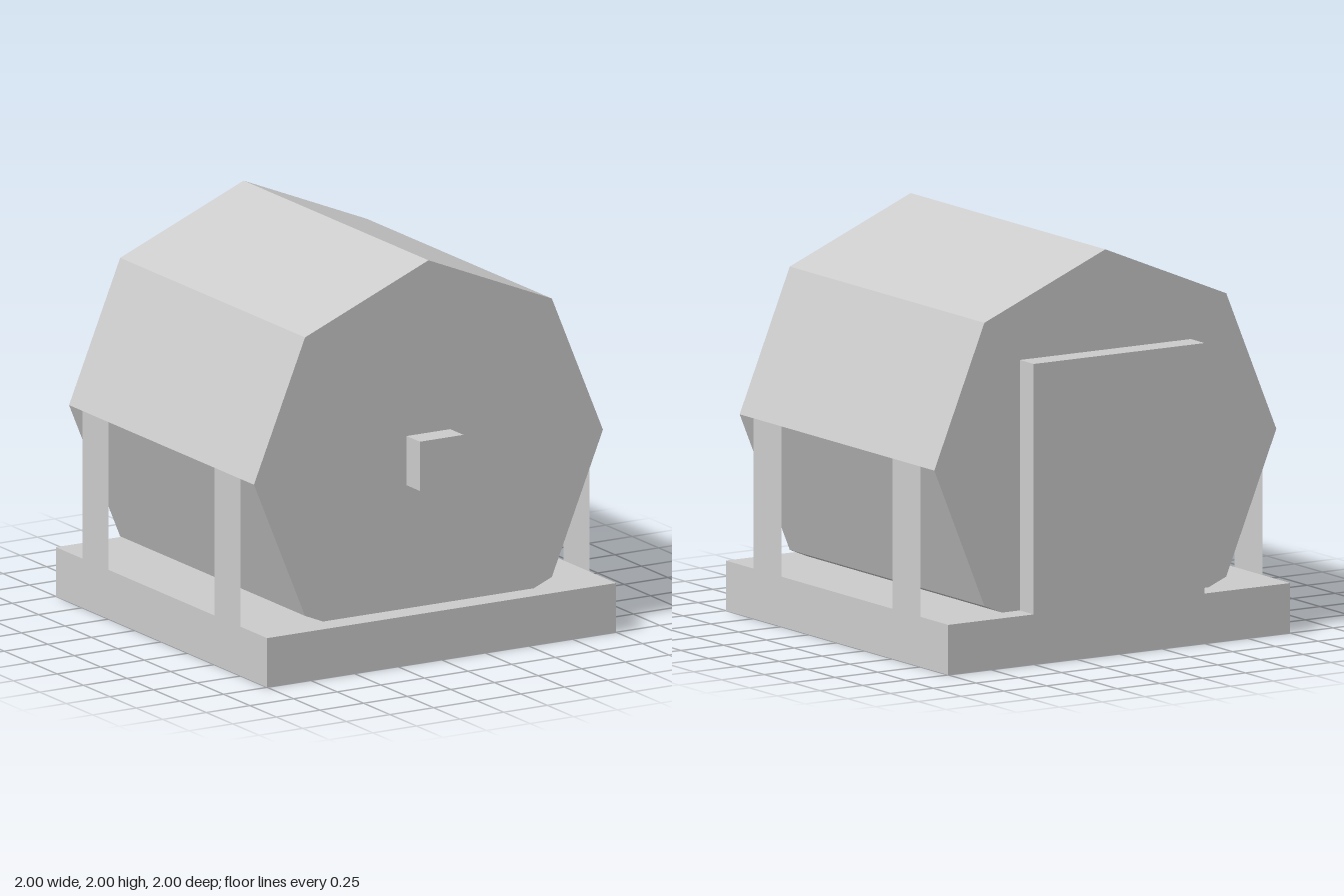
import * as THREE from 'three';

const material = new THREE.MeshStandardMaterial({ color: 0xcccccc, flatShading: true });
const thinMaterial = new THREE.MeshStandardMaterial({
  color: 0xcccccc, flatShading: true, side: THREE.DoubleSide,
});

export function createModel() {
  const model = new THREE.Group();
  model.name = 'barrelOnStand';

  function add(name, geometry, x, y, z, mat = material) {
    const mesh = new THREE.Mesh(geometry, mat);
    mesh.name = name;
    mesh.position.set(x, y, z);
    model.add(mesh);
    return mesh;
  }

  const baseTop = 0.25;
  const halfLength = 0.875;

  // Square base slab
  add('base', new THREE.BoxGeometry(2, baseTop, 2), 0, baseTop / 2, 0);

  // Eight-sided barrel lying along z, its lowest corner cut off at the base top
  const outline = [];
  for (let i = -1; i <= 5; i++) {
    const a = (i * Math.PI) / 4;
    outline.push(new THREE.Vector2(Math.cos(a), 1 + Math.sin(a)));
  }
  const cutX = baseTop * Math.tan((3 * Math.PI) / 8);
  outline.push(new THREE.Vector2(-cutX, baseTop), new THREE.Vector2(cutX, baseTop));
  const barrel = new THREE.ExtrudeGeometry(new THREE.Shape(outline), {
    depth: 2 * halfLength, bevelEnabled: false,
  });
  add('barrel', barrel, 0, 0, -halfLength);

  // Square knob on the front
  add('frontKnob', new THREE.BoxGeometry(0.25, 0.25, 0.125), 0, 1, 0.9375);

  // Upright panel on the back
  add('backPanel', new THREE.BoxGeometry(1, 1.25, 0.125), 0, 0.875, -0.9375);

  // Sheet-thin supports from the base edges to the barrel's widest corners
  for (const side of [1, -1]) {
    for (const end of [1, -1]) {
      const name = (side > 0 ? 'left' : 'right') + (end > 0 ? 'Front' : 'Back') + 'Support';
      const support = add(name, new THREE.PlaneGeometry(0.25, 0.75), side, 0.625, end * 0.625, thinMaterial);
      support.rotation.y = (side * Math.PI) / 2;
    }
  }

  return model;
}
